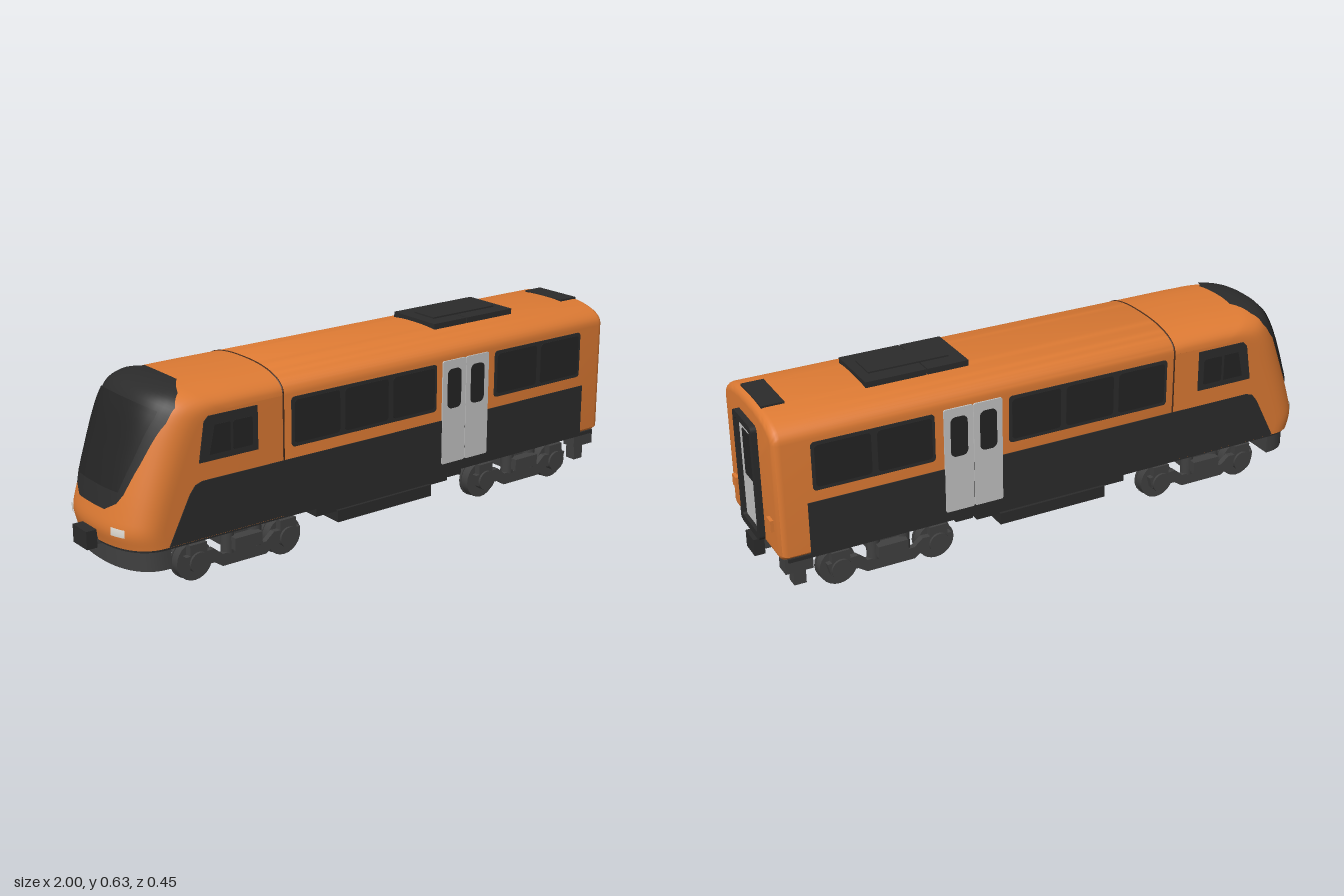
import * as THREE from 'three';
import { toCreasedNormals } from 'three/addons/utils/BufferGeometryUtils.js';

const W = 0.215, SEAM = -0.405, E = 2 / 2.4;
const mat = (name, color) => {
  const m = new THREE.MeshStandardMaterial({ color });
  m.name = name;
  return m;
};

export function createModel() {
  const model = new THREE.Group();
  model.name = 'railcar';
  const orange = mat('orange paint', 0xdd7a33);
  const dark = mat('dark paint', 0x2b2b2b);
  const glass = mat('dark glass', 0x242424);
  const grey = mat('door grey', 0xc4c4c4);
  const iron = mat('running gear grey', 0x404040);
  const lamp = mat('lamp white', 0xdedad2);
  const seamMat = mat('seam brown', 0x4a2c1a);

  const add = (name, geo, m, x = 0, y = 0, z = 0, parent = model) => {
    const mesh = new THREE.Mesh(geo, m);
    mesh.name = name;
    mesh.position.set(x, y, z);
    parent.add(mesh);
    return mesh;
  };
  const box = (name, m, x0, x1, y0, y1, z0, z1, parent) =>
    add(name, new THREE.BoxGeometry(x1 - x0, y1 - y0, z1 - z0), m,
      (x0 + x1) / 2, (y0 + y1) / 2, (z0 + z1) / 2, parent);
  const shapeOf = pts => new THREE.Shape(pts.map(p => new THREE.Vector2(p[0], p[1])));
  const extrude = (shape, depth, opt = {}) =>
    new THREE.ExtrudeGeometry(shape, { depth, bevelEnabled: false, curveSegments: 6, ...opt });
  const rounded = (x0, x1, y0, y1, r) => {
    const s = new THREE.Shape();
    s.absarc(x1 - r, y1 - r, r, 0, Math.PI / 2);
    s.absarc(x0 + r, y1 - r, r, Math.PI / 2, Math.PI);
    s.absarc(x0 + r, y0 + r, r, Math.PI, Math.PI * 1.5);
    s.absarc(x1 - r, y0 + r, r, Math.PI * 1.5, Math.PI * 2);
    return s;
  };

  // Lateral curve shared by the roof arch and the nose plan
  const lateral = a => ({
    z: W * Math.sign(a) * Math.abs(Math.sin(a)) ** E,
    c: Math.max(0, Math.cos(a)) ** E,
  });
  const roofY = c => 0.54 + 0.075 * c;
  const angles = Array.from({ length: 29 }, (_, i) => (i / 28 - 0.5) * Math.PI);

  // Main body: arched section drawn along x, with rounded ends
  const section = shapeOf([[-W, 0.165], [-W + 0.02, 0.148], [W - 0.02, 0.148], [W, 0.165],
    ...angles.map(a => lateral(a)).reverse().map(p => [p.z, roofY(p.c)])]);
  const bodyGeo = extrude(section, 1.355,
    { bevelEnabled: true, bevelSize: 0.025, bevelOffset: -0.025, bevelThickness: 0.025, bevelSegments: 4 });
  add('passengerBody', toCreasedNormals(bodyGeo.rotateY(Math.PI / 2), 0.6), orange, SEAM);
  const seamGeo = extrude(section, 0.002,
    { bevelEnabled: true, bevelSize: 0.002, bevelOffset: 0, bevelThickness: 0.002, bevelSegments: 1 });
  add('bodySeam', seamGeo.rotateY(Math.PI / 2), seamMat, SEAM);

  // Nose skin: centre profile swept sideways
  const profile = new THREE.CatmullRomCurve3([
    [-0.955, 0.15], [-0.965, 0.2], [-0.952, 0.26], [-0.9, 0.42], [-0.85, 0.55],
    [-0.82, 0.592], [-0.77, 0.611], [-0.68, 0.615], [SEAM, 0.615],
  ].map(p => new THREE.Vector3(p[0], p[1], 0)));
  const nosePoint = (v, a, lift = 0) => {
    const p = profile.getPoint(v / 8), t = profile.getTangent(v / 8), { z, c } = lateral(a);
    const depth = 0.13 * Math.min(1, Math.max(0, SEAM - p.x) / 0.35);
    return [p.x + depth * (1 - c) - t.y * lift,
      0.15 + (p.y - 0.15) * (roofY(c) - 0.15) / 0.465 + t.x * lift, z * (1 + lift)];
  };
  const grid = (rows, cols, fn) => {
    const pos = [], idx = [];
    for (let i = 0; i <= rows; i++) for (let j = 0; j <= cols; j++) {
      pos.push(...fn(i, j));
      if (i < rows && j < cols) {
        const a = i * (cols + 1) + j, b = a + cols + 1;
        idx.push(a, a + 1, b, a + 1, b + 1, b);
      }
    }
    const g = new THREE.BufferGeometry();
    g.setAttribute('position', new THREE.Float32BufferAttribute(pos, 3));
    g.setIndex(idx);
    g.computeVertexNormals();
    return g;
  };
  add('cabShell', grid(40, 30, (i, j) => {
    const v = i / 5;
    if (j > 0 && j < 30) return nosePoint(v, angles[j - 1]);
    const p = nosePoint(v, angles[j ? 28 : 0]);
    return [SEAM, p[1], p[2]];
  }), orange);

  // Curved patches lying on the nose; q is the fraction of half width
  const angle = q => Math.sign(q) * Math.asin(Math.abs(q) ** 1.2);
  const patch = (name, m, v0, v1, range, lift) => add(name, grid(24, 20, (i, j) => {
    const v = v0 + (v1 - v0) * i / 24, [a, b] = range(v);
    return nosePoint(v, angle(a + (b - a) * j / 20), lift);
  }), m).material.side = THREE.DoubleSide;
  const widths = [[2, 0.35], [2.25, 0.6], [3, 0.75], [4, 0.88], [5, 0.88], [6, 0.74], [6.75, 0.42]];
  const screenWidth = v => {
    const k = Math.max(1, widths.findIndex(w => w[0] >= v - 1e-6)), [a, b] = [widths[k - 1], widths[k]];
    return a[1] + (b[1] - a[1]) * (v - a[0]) / (b[0] - a[0]);
  };
  patch('windscreenSurround', dark, 2, 6.75, v => [-screenWidth(v), screenWidth(v)], 0.007);
  patch('windscreenGlass', glass, 2.4, 4.4, v => [-screenWidth(v) * 0.86, screenWidth(v) * 0.86], 0.01);
  for (const s of [-1, 1])
    patch('headlight', lamp, 0.85, 1.3, () => (s > 0 ? [0.52, 0.74] : [-0.74, -0.52]), 0.005);

  // Floor and front skirt follow the nose plan
  const plan = (tip, rear, k) => shapeOf([[rear, W * k],
    ...angles.map(a => lateral(a)).reverse().map(p => [tip + 0.13 * (1 - p.c), p.z * k]), [rear, -W * k]]);
  add('floor', extrude(plan(-0.95, 0.95, 0.97), 0.012).rotateX(Math.PI / 2), dark, 0, 0.153);
  add('frontSkirt', toCreasedNormals(extrude(plan(-0.94, -0.81, 0.96), 0.072).rotateX(Math.PI / 2), 0.6), iron, 0, 0.15);

  // Thin plates on both sides
  const plate = (name, shape, m, layer = 0) => {
    const d = 0.003 + layer * 0.002;
    for (const s of [1, -1]) add(name, extrude(shape, d), m, 0, 0, s > 0 ? W : -W - d);
  };
  plate('lowerBand', shapeOf([[-0.82, 0.152], [0.88, 0.152], [0.88, 0.333], [-0.7, 0.333],
    [-0.725, 0.325], [-0.745, 0.3]]), dark);
  plate('cabWindow', shapeOf([[-0.71, 0.39], [-0.5, 0.39], [-0.5, 0.53], [-0.675, 0.53], [-0.69, 0.515]]), dark);
  plate('cabPane', shapeOf([[-0.675, 0.41], [-0.6, 0.41], [-0.6, 0.5], [-0.655, 0.5]]), glass, 1);
  plate('cabPane', rounded(-0.59, -0.52, 0.41, 0.5, 0.008), glass, 1);
  for (const [x0, x1, n] of [[-0.375, 0.205, 3], [0.46, 0.86, 2]]) {
    plate('windowFrame', rounded(x0, x1, 0.37, 0.53, 0.012), dark);
    const w = (x1 - x0) / n;
    for (let i = 0; i < n; i++)
      plate('windowPane', rounded(x0 + i * w + 0.01, x0 + (i + 1) * w - 0.01, 0.382, 0.52, 0.012), glass, 1);
  }
  for (const x of [0.23, 0.331]) {
    plate('sideDoor', rounded(x, x + 0.099, 0.18, 0.535, 0.006), grey, 1);
    plate('doorWindow', rounded(x + 0.02, x + 0.078, 0.37, 0.505, 0.018), glass, 2);
  }

  // Rear gangway door
  const frame = rounded(-0.083, 0.083, 0.163, 0.55, 0.018);
  frame.holes.push(rounded(-0.065, 0.065, 0.188, 0.528, 0.01));
  const rear = (name, shape, depth, m, x) => add(name, extrude(shape, depth).rotateY(Math.PI / 2), m, x);
  rear('rearDoorFrame', frame, 0.022, dark, 0.972);
  rear('rearDoor', rounded(-0.067, 0.067, 0.186, 0.53, 0.01), 0.007, grey, 0.974);
  rear('rearDoorWindow', rounded(-0.034, 0.034, 0.345, 0.5, 0.004), 0.004, glass, 0.98);
  for (const s of [-1, 1]) box('rearLamp', orange, 0.97, 0.986, 0.24, 0.278, s * 0.155 - 0.017, s * 0.155 + 0.017);

  // Roof equipment
  for (const [x0, x1] of [[0.287, 0.427], [0.431, 0.633]])
    box('roofUnit', dark, x0, x1, 0.59, 0.628, -0.105, 0.105);
  box('roofUnitRidge', dark, 0.33, 0.6, 0.62, 0.633, -0.05, 0.05);
  box('rearRoofVent', dark, 0.885, 0.958, 0.598, 0.617, -0.09, 0.09);

  // Underfloor equipment
  box('underfloorTray', dark, -0.25, 0.3, 0.095, 0.15, -0.17, 0.17);
  box('underfloorTank', dark, -0.17, 0.22, 0.06, 0.1, -0.18, 0.18);
  box('underfloorCabinet', dark, 0.31, 0.37, 0.1, 0.15, -0.16, 0.16);

  // Couplers and rear brackets
  box('frontCoupler', iron, -0.98, -0.9, 0.135, 0.175, -0.03, 0.03);
  box('frontCouplerHead', dark, -1, -0.965, 0.13, 0.188, -0.042, 0.042);
  box('rearCoupler', iron, 0.88, 0.98, 0.1, 0.14, -0.025, 0.025);
  box('rearCouplerHead', dark, 0.965, 1, 0.09, 0.147, -0.036, 0.036);
  for (const s of [-1, 1]) {
    box('rearBracket', iron, 0.87, 0.96, 0.1, 0.152, s * 0.175 - 0.026, s * 0.175 + 0.026);
    box('rearGuard', iron, 0.89, 0.93, 0.045, 0.11, s * 0.165 - 0.02, s * 0.165 + 0.02);
  }

  // Bogies
  const rod = (name, m, r, len, x, y, z, parent) =>
    add(name, new THREE.CylinderGeometry(r, r, len, 24).rotateX(Math.PI / 2), m, x, y, z, parent);
  const frameShape = shapeOf([[-0.2, 0.055], [-0.11, 0.055], [-0.08, 0.035], [0.08, 0.035], [0.11, 0.055],
    [0.2, 0.055], [0.21, 0.095], [0.11, 0.1], [0.08, 0.075], [-0.08, 0.075], [-0.11, 0.1], [-0.21, 0.095]]);
  for (const cx of [-0.545, 0.615]) {
    const bogie = new THREE.Group();
    bogie.name = 'bogie';
    bogie.position.x = cx;
    model.add(bogie);
    box('bolster', iron, -0.06, 0.06, 0.085, 0.15, -0.16, 0.16, bogie);
    for (const s of [-1, 1]) {
      add('sideFrame', extrude(frameShape, 0.02), iron, 0, 0, s > 0 ? 0.18 : -0.2, bogie);
      box('damper', iron, -0.05, 0.05, 0.085, 0.125, s * 0.207 - 0.018, s * 0.207 + 0.018, bogie);
      for (const x of [-0.05, 0.05])
        add('spring', new THREE.CylinderGeometry(0.022, 0.022, 0.08, 16), iron, x, 0.11, s * 0.18, bogie);
      for (const x of [-0.165, 0.165]) {
        rod('wheel', iron, 0.063, 0.03, x, 0.066, s * 0.16, bogie);
        rod('wheelFlange', iron, 0.066, 0.008, x, 0.066, s * 0.141, bogie);
        rod('wheelHub', iron, 0.026, 0.03, x, 0.066, s * 0.122, bogie);
        rod('axleBox', iron, 0.034, 0.03, x, 0.07, s * 0.193, bogie);
        box('axleSpring', iron, x - 0.03, x + 0.03, 0.09, 0.13, s * 0.188 - 0.012, s * 0.188 + 0.012, bogie);
      }
    }
    for (const x of [-0.165, 0.165]) rod('axle', iron, 0.014, 0.28, x, 0.066, 0, bogie);
  }
  return model;
}
